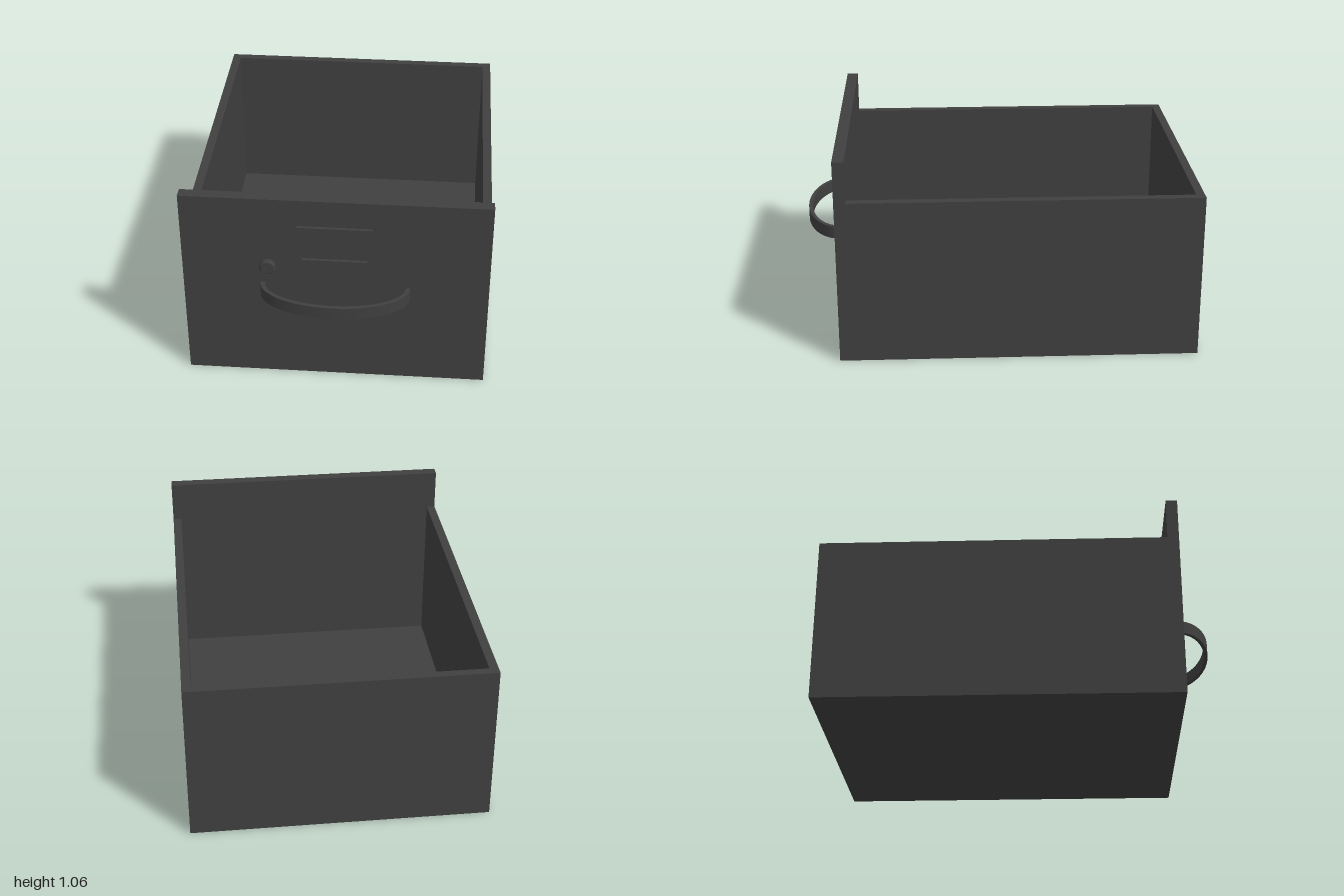
import * as THREE from 'three';
import { toCreasedNormals } from 'three/addons/utils/BufferGeometryUtils.js';

const FRONT = 0.815; // z of the outer face of the front panel

export function createModel() {
  const group = new THREE.Group();
  const material = new THREE.MeshStandardMaterial({ color: 0x404040 });

  const add = (name, geometry, x, y, z) => {
    const mesh = new THREE.Mesh(geometry, material);
    mesh.name = name;
    mesh.position.set(x, y, z);
    group.add(mesh);
    return mesh;
  };
  const box = (name, x0, x1, y0, y1, z0, z1) =>
    add(name, new THREE.BoxGeometry(x1 - x0, y1 - y0, z1 - z0),
      (x0 + x1) / 2, (y0 + y1) / 2, (z0 + z1) / 2);
  const rectangle = (w, h, Type) => new Type([
    new THREE.Vector2(-w / 2, -h / 2), new THREE.Vector2(w / 2, -h / 2),
    new THREE.Vector2(w / 2, h / 2), new THREE.Vector2(-w / 2, h / 2),
  ]);

  // Open tray behind a taller front panel
  box('frontPanel', -0.757, 0.757, 0, 1.063, 0.757, FRONT);
  box('backWall', -0.757, 0.757, 0, 0.85, -1, -0.957);
  box('rightWall', -0.757, -0.712, 0, 0.85, -0.957, 0.757);
  box('leftWall', 0.712, 0.757, 0, 0.85, -0.957, 0.757);
  box('floor', -0.712, 0.712, 0, 0.035, -0.957, 0.757);

  // Label holder: a flat frame around an open window
  const frame = rectangle(0.366, 0.215, THREE.Shape);
  frame.holes.push(rectangle(0.318, 0.166, THREE.Path));
  add('labelHolder', new THREE.ExtrudeGeometry(frame, { depth: 0.015, bevelEnabled: false }),
    -0.003, 0.81, FRONT);

  // Round lock with a chamfered rim
  const profile = [[0.04, 0], [0.04, 0.017], [0.033, 0.025], [0, 0.025]]
    .map(([r, h]) => new THREE.Vector2(r, h));
  const lockGeometry = toCreasedNormals(new THREE.LatheGeometry(profile, 32), 0.5);
  add('lock', lockGeometry, -0.333, 0.672, FRONT).rotation.x = Math.PI / 2;

  // Bow handle: a half-elliptical strip lying level
  const strip = new THREE.Shape();
  strip.absellipse(0, 0, 0.371, 0.185, 0, Math.PI, false);
  strip.lineTo(-0.349, 0);
  strip.absellipse(0, 0, 0.349, 0.165, Math.PI, 0, true);
  strip.closePath();
  const handleGeometry = new THREE.ExtrudeGeometry(strip,
    { depth: 0.065, bevelEnabled: false, curveSegments: 24 });
  handleGeometry.rotateX(Math.PI / 2);
  add('handle', toCreasedNormals(handleGeometry, 0.6), -0.001, 0.57, FRONT);

  return group;
}
